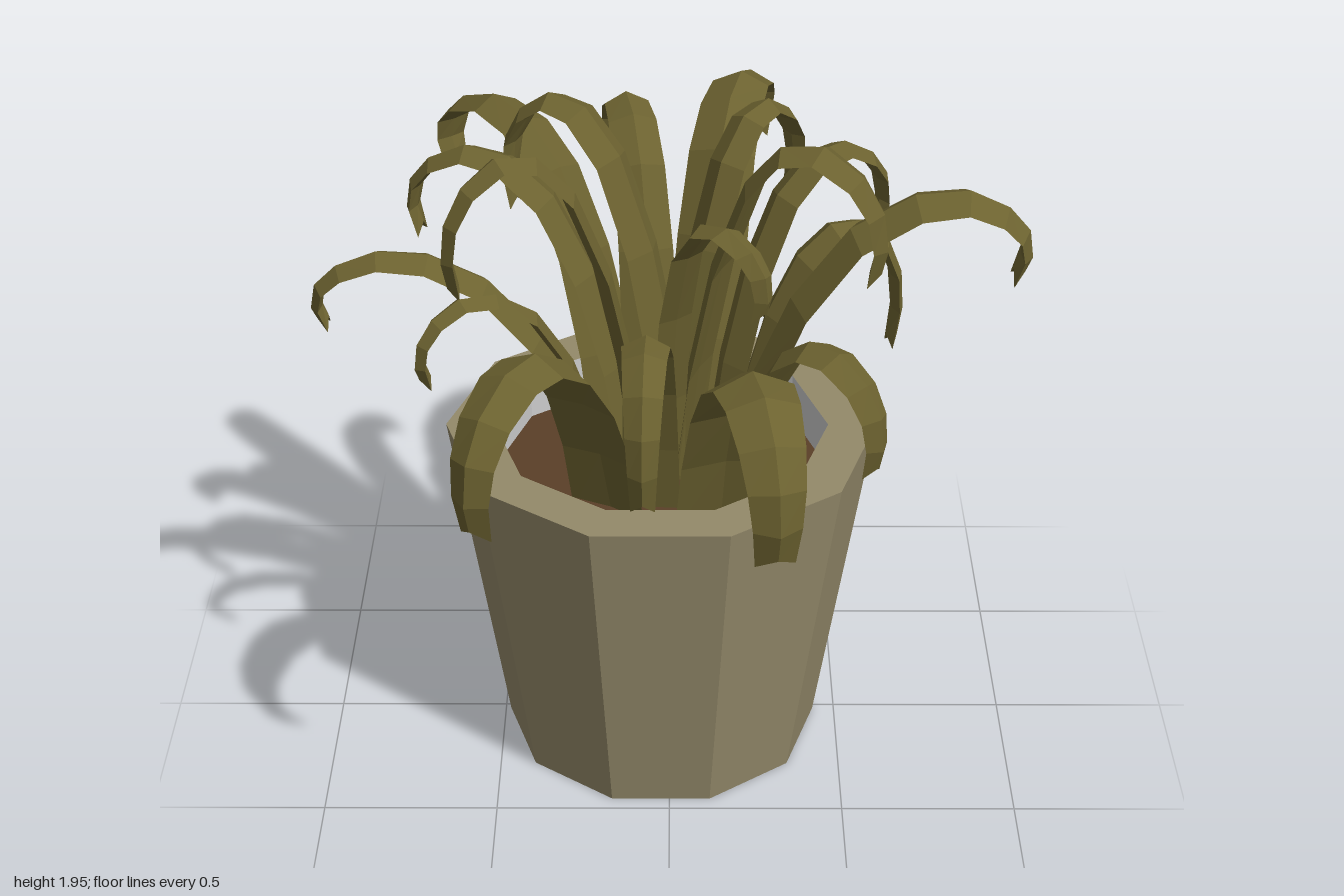
import * as THREE from 'three';

const mat = (color, side = THREE.FrontSide) =>
  new THREE.MeshStandardMaterial({ color, flatShading: true, side });

const POT_X = -0.025, POT_Z = 0.018, SIDES = 10, RIM_Y = 1.01, SOIL_Y = 0.87;

// base x, z | tip x, z | peak height, tip height | peak position along the reach | width | sideways bow
const LEAVES = [
  // long outer leaves
  [-0.18, 0.02, -0.99, 0.03, 1.56, 1.33, 0.7, 0.13],
  [0.15, 0.03, 0.99, 0.03, 1.75, 1.48, 0.72, 0.18],
  [-0.12, -0.1, -0.67, -0.75, 1.77, 1.48, 0.62, 0.15],
  [0.08, -0.16, 0.26, -0.93, 1.78, 1.5, 0.62, 0.17],
  [-0.15, 0.21, -0.52, 0.81, 1.53, 1.12, 0.63, 0.18],
  [0.14, 0.23, 0.28, 0.93, 1.52, 1.11, 0.63, 0.2],
  // medium leaves
  [-0.04, -0.1, -0.16, -0.73, 1.78, 1.48, 0.65, 0.13],
  [-0.05, 0.21, -0.07, 0.73, 1.56, 1.15, 0.62, 0.12],
  [0.17, 0.14, 0.56, 0.52, 1.46, 1.14, 0.62, 0.13],
  [0.12, -0.07, 0.62, -0.34, 1.76, 1.47, 0.65, 0.12],
  [0.18, -0.06, 0.66, -0.21, 1.57, 1.15, 0.67, 0.12],
  [-0.16, 0.12, -0.67, 0.38, 1.57, 1.33, 0.7, 0.08],
  [-0.08, -0.06, -0.74, -0.27, 1.77, 1.48, 0.66, 0.13],
  // tall inner leaves
  [-0.06, 0.03, -0.6, 0.24, 1.92, 1.53, 0.65, 0.11],
  [0.02, -0.08, 0.37, -0.46, 1.85, 1.55, 0.64, 0.11],
  [0.05, 0.04, -0.46, -0.25, 1.95, 1.58, 0.66, 0.13],
  [0.02, 0.02, 0.57, 0.25, 1.95, 1.58, 0.6, 0.14],
  [-0.02, 0.1, 0.25, 0.47, 1.82, 1.58, 0.66, 0.09, 0.06],
];

// Arching leaf: a folded, chevron-shaped section swept along a drooping curve
function leafGeometry([bx, bz, tx, tz, peakY, tipY, peak, width, bow = 0]) {
  const reach = Math.hypot(tx - bx, tz - bz);
  const dx = (tx - bx) / reach, dz = (tz - bz) / reach;
  const y0 = SOIL_Y - 0.03, rise = peakY - y0, drop = peakY - tipY;
  const side = new THREE.Vector3(-dz, 0, dx), steps = 9;
  const point = (f, y) => new THREE.Vector3(bx + dx * reach * f, y, bz + dz * reach * f)
    .addScaledVector(side, bow * Math.sin(Math.PI * f));
  const curve = new THREE.CatmullRomCurve3([
    point(0, y0),
    point(peak * 0.22, y0 + rise * 0.5),
    point(peak * 0.58, y0 + rise * 0.87),
    point(peak, peakY),
    point(peak + (1 - peak) * 0.7, peakY - drop * 0.2),
    point(1, peakY - drop * 0.58),
    point(0.965, tipY),
  ]);
  const positions = [], index = [];
  for (let i = 0; i <= steps; i++) {
    const t = i / steps;
    const p = curve.getPoint(t), tangent = curve.getTangent(t);
    const normal = side.clone().cross(tangent);
    const half = width * (t < 0.5 ? 0.68 - 0.32 * t : 0.52 - 0.5 * (t - 0.5));
    const ridge = 0.012, edge = -half * 0.3, inner = -0.022;
    // the last section is notched so the tip ends in two points
    const notch = i === steps ? 0.035 : 0;
    for (const [s, n, back] of [[0, ridge, notch], [half, edge, 0], [0, inner, notch], [-half, edge, 0]]) {
      const v = p.clone().addScaledVector(side, s).addScaledVector(normal, n).addScaledVector(tangent, -back);
      positions.push(v.x, v.y, v.z);
    }
    if (i === steps) break;
    for (let j = 0; j < 4; j++) {
      const a = i * 4 + j, b = i * 4 + (j + 1) % 4;
      index.push(a, b, b + 4, a, b + 4, a + 4);
    }
  }
  const e = steps * 4;
  index.push(0, 3, 2, 0, 2, 1, e, e + 1, e + 2, e, e + 2, e + 3);
  const geometry = new THREE.BufferGeometry();
  geometry.setAttribute('position', new THREE.Float32BufferAttribute(positions, 3));
  geometry.setIndex(index);
  geometry.computeVertexNormals();
  return geometry;
}

export function createModel() {
  const model = new THREE.Group();
  const potColor = mat(0x948a6a), grey = mat(0xcccccc), soilColor = mat(0x5a4028);
  const leafColor = mat(0x6c6230, THREE.DoubleSide);

  const pot = new THREE.Group();
  pot.name = 'pot';
  pot.position.set(POT_X, 0, POT_Z);
  model.add(pot);
  const addPot = (name, geometry, material) => {
    const mesh = new THREE.Mesh(geometry, material);
    mesh.name = name;
    pot.add(mesh);
    return mesh;
  };

  // Ten-sided tapered pot; profiles are turned so that corners lie on the x axis
  const turned = (...pts) => new THREE.LatheGeometry(
    pts.map(([r, y]) => new THREE.Vector2(r, y)), SIDES, Math.PI / 2);
  addPot('potWall', turned([0.46, 0], [0.615, RIM_Y]), potColor);
  addPot('potRim', turned([0.615, RIM_Y], [0.478, RIM_Y]), potColor);
  addPot('potInnerWall', turned([0.478, RIM_Y], [0.478, SOIL_Y]), grey);

  const base = addPot('potBase', new THREE.CircleGeometry(0.46, SIDES), grey);
  base.rotation.x = Math.PI / 2;
  const soil = addPot('soil', new THREE.CircleGeometry(0.478, SIDES), soilColor);
  soil.rotation.x = -Math.PI / 2;
  soil.position.y = SOIL_Y;

  // Clump of drooping leaves
  const foliage = new THREE.Group();
  foliage.name = 'foliage';
  model.add(foliage);
  for (const spec of LEAVES) {
    const leaf = new THREE.Mesh(leafGeometry(spec), leafColor);
    leaf.name = 'leaf';
    foliage.add(leaf);
  }
  return model;
}
